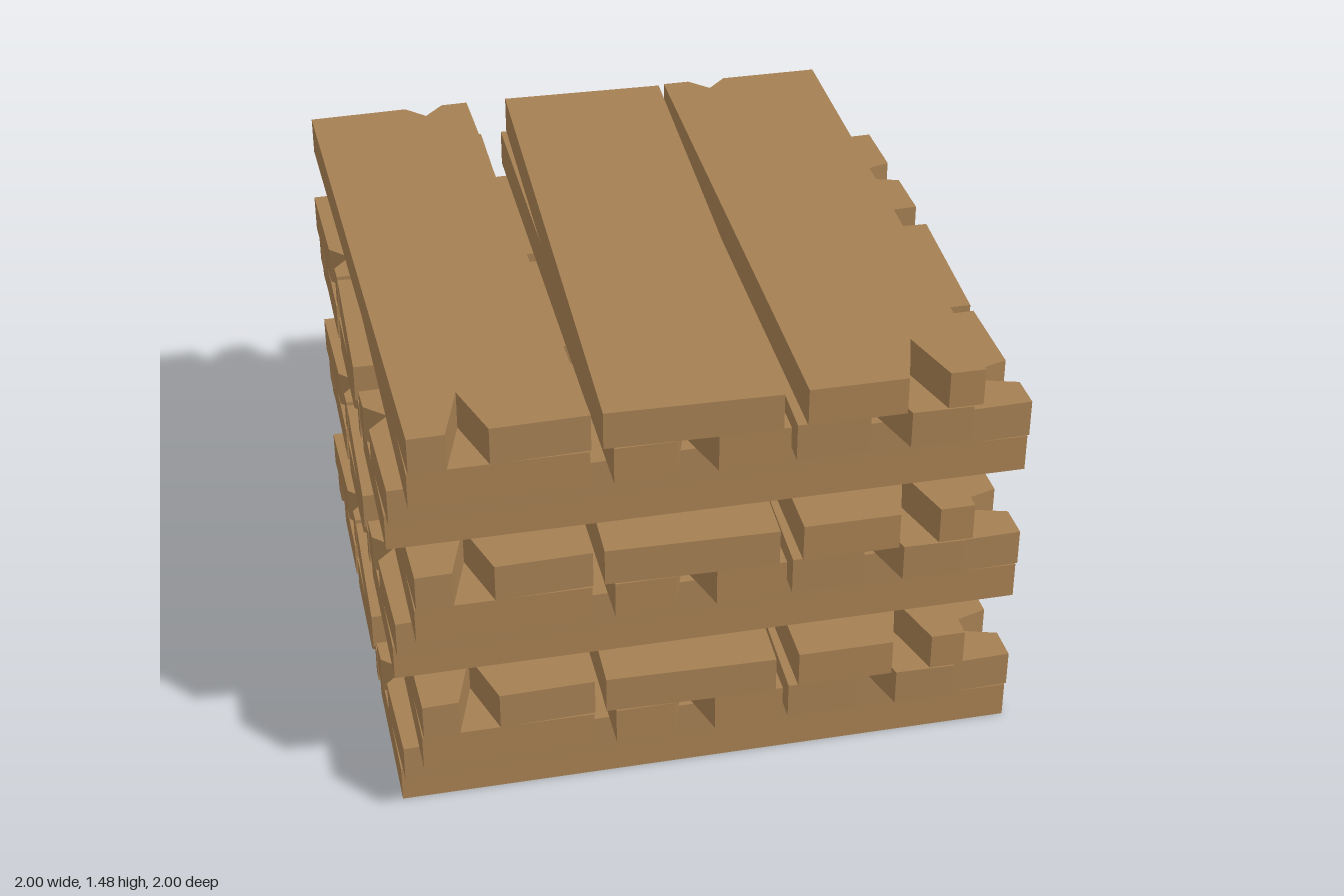
import * as THREE from 'three';

const THICK = 1.475 / 12;

// Each plank: back left, back right, front left, front right, deep split centre, shallow split centre
const LAYERS = {
  crossLower: [
    [-0.84, -0.31, -0.84, -0.31],
    [-0.24, 0.29, -0.24, 0.29, 0.01, -0.13],
    [0.36, 0.89, 0.36, 0.89, 0.53, 0.75],
  ],
  crossUpper: [
    [-0.89, -0.35, -0.835, -0.295, -0.66, -0.5],
    [-0.21, 0.32, -0.26, 0.27],
    [0.34, 0.885, 0.39, 0.925, 0.645, 0.46],
  ],
  longLower: [
    [-0.935, -0.4, -0.935, -0.4],
    [-0.33, 0.2, -0.33, 0.2, -0.08, -0.22],
    [0.265, 0.8, 0.22, 0.755, 0.505, 0.66],
  ],
  longUpper: [
    [-0.98, -0.445, -0.93, -0.395, -0.755, -0.595],
    [-0.31, 0.23, -0.36, 0.175],
    [0.25, 0.785, 0.25, 0.785, 0.615, 0.4],
  ],
};

// Plank outline seen from above, with V-shaped splits in its ends
function plankGeometry([bl, br, fl, fr, deep, shallow]) {
  const tilt = ((fl - bl) / 2) * (fr - fl) / 2;
  const half = 0.063, end = 0.992;
  const pts = [[bl, -end + tilt], [fl, end + tilt]];
  const edge = (c, l, r, base) => base + tilt * (1 - 2 * (c - l) / (r - l));
  if (deep !== undefined) {
    pts.push([deep - half, edge(deep - half, fl, fr, end)], [deep, 0.787],
      [deep + half, edge(deep + half, fl, fr, end)]);
  }
  pts.push([fr, end - tilt], [br, -end - tilt]);
  if (shallow !== undefined) {
    pts.push([shallow + half, edge(shallow + half, bl, br, -end)], [shallow, -0.93],
      [shallow - half, edge(shallow - half, bl, br, -end)]);
  }
  const shape = new THREE.Shape(pts.map(([x, z]) => new THREE.Vector2(x, -z)));
  return new THREE.ExtrudeGeometry(shape, { depth: THICK, bevelEnabled: false }).rotateX(-Math.PI / 2);
}

export function createModel() {
  const model = new THREE.Group();
  model.name = 'plankStack';
  const wood = new THREE.MeshStandardMaterial({ color: 0xa57f52 });
  wood.name = 'wood';

  // Two crosswise layers, then two lengthwise layers, repeated three times
  const kinds = Object.entries(LAYERS).map(([name, planks]) => ({ name, geometries: planks.map(plankGeometry) }));
  for (let i = 0; i < 12; i++) {
    const { name, geometries } = kinds[i % 4];
    const layer = new THREE.Group();
    layer.name = `${name}Layer${Math.floor(i / 4) + 1}`;
    layer.position.y = i * THICK;
    if (i % 4 < 2) layer.rotation.y = Math.PI / 2;
    geometries.forEach((geometry, n) => {
      const plank = new THREE.Mesh(geometry, wood);
      plank.name = `plank${n + 1}`;
      layer.add(plank);
    });
    model.add(layer);
  }
  return model;
}
